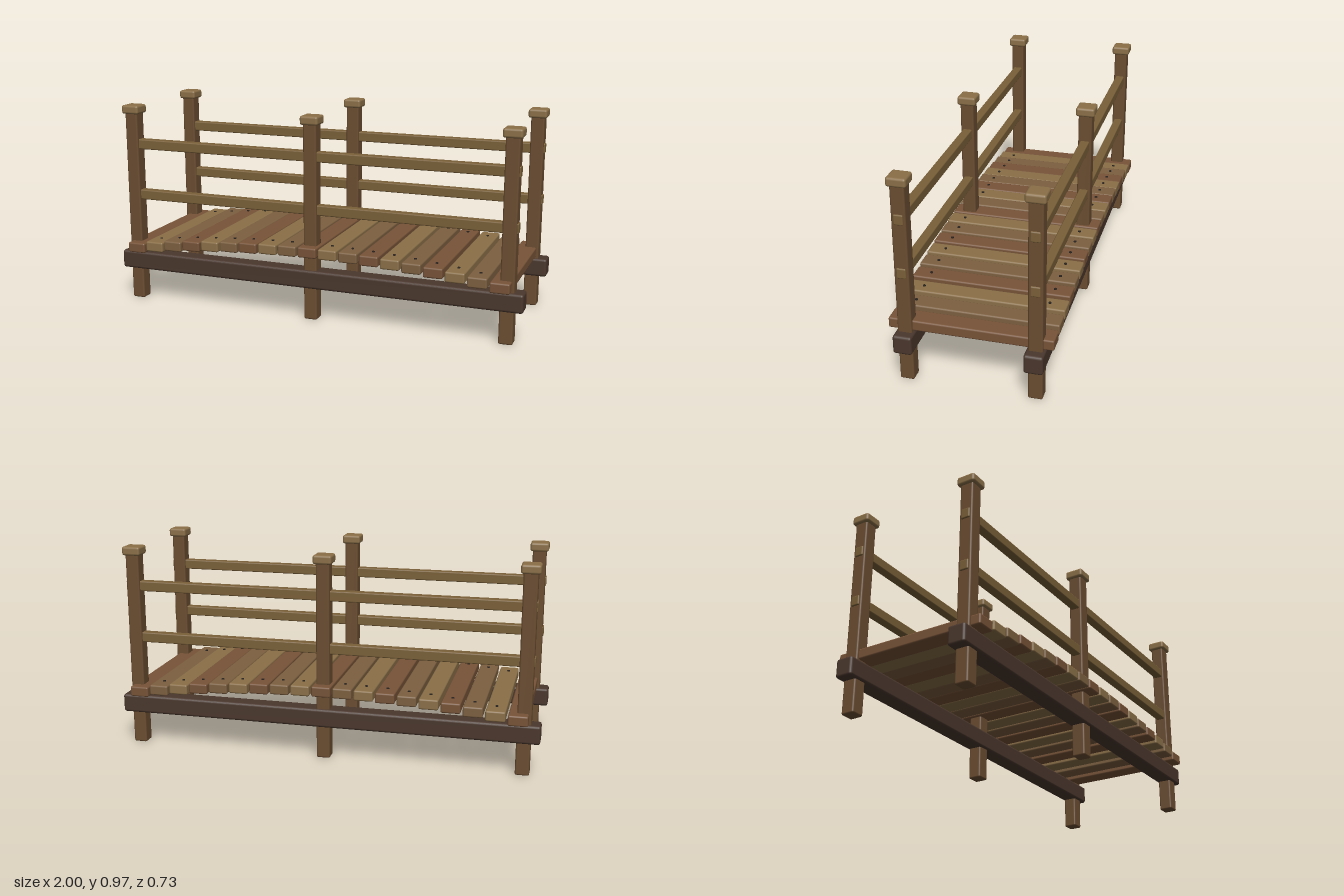
import * as THREE from 'three';
import { RoundedBoxGeometry } from 'three/addons/geometries/RoundedBoxGeometry.js';

const material = (color) => new THREE.MeshStandardMaterial({ color });

export function createModel() {
  const bridge = new THREE.Group();
  bridge.name = 'footbridge';

  const beamWood = material(0x4a372d);
  const postWood = material(0x6b4d31);
  const railWood = material(0x7a6038);
  const capWood = material(0x8b7048);
  const nailIron = material(0x2a2420);
  const plankWoods = [material(0x785438), material(0x8b7048), material(0x7d6040)];

  // Softly bevelled timber, centred on (x, y, z)
  function timber(parent, name, [w, h, d], [x, y, z], mat, radius = 0.008) {
    const mesh = new THREE.Mesh(new RoundedBoxGeometry(w, h, d, 2, radius), mat);
    mesh.name = name;
    mesh.position.set(x, y, z);
    parent.add(mesh);
  }

  const sideZ = 0.286;

  // Beam, posts with caps, and rails on each side
  for (const [sideName, sign] of [['front', 1], ['back', -1]]) {
    const z = sign * sideZ;
    const side = new THREE.Group();
    side.name = `${sideName}Railing`;
    timber(side, 'beam', [2, 0.088, 0.085], [0, 0.197, z], beamWood, 0.012);
    for (const x of [-0.925, 0, 0.925]) {
      timber(side, 'post', [0.064, 0.935, 0.064], [x, 0.4675, z], postWood);
      timber(side, 'postCap', [0.088, 0.042, 0.088], [x, 0.945, z], capWood, 0.011);
    }
    for (const y of [0.528, 0.777]) {
      timber(side, 'rail', [1.925, 0.048, 0.043], [0, y, z], railWood, 0.006);
    }
    bridge.add(side);
  }

  // Gently arched deck of level planks, nailed at both ends
  const deck = new THREE.Group();
  deck.name = 'deck';
  const nailGeometry = new THREE.CylinderGeometry(0.007, 0.007, 0.008, 8);
  const count = 19;
  for (let i = 0; i < count; i++) {
    const x = -0.9 + i * 0.1;
    const y = 0.27 + 0.066 * (1 - (x / 0.9) ** 2);
    timber(deck, 'plank', [0.09, 0.049, 0.726], [x, y, 0], plankWoods[i % 3]);
    for (const sign of [-1, 1]) {
      const nail = new THREE.Mesh(nailGeometry, nailIron);
      nail.name = 'nail';
      nail.position.set(x, y + 0.0245, sign * sideZ);
      deck.add(nail);
    }
  }
  bridge.add(deck);

  return bridge;
}
